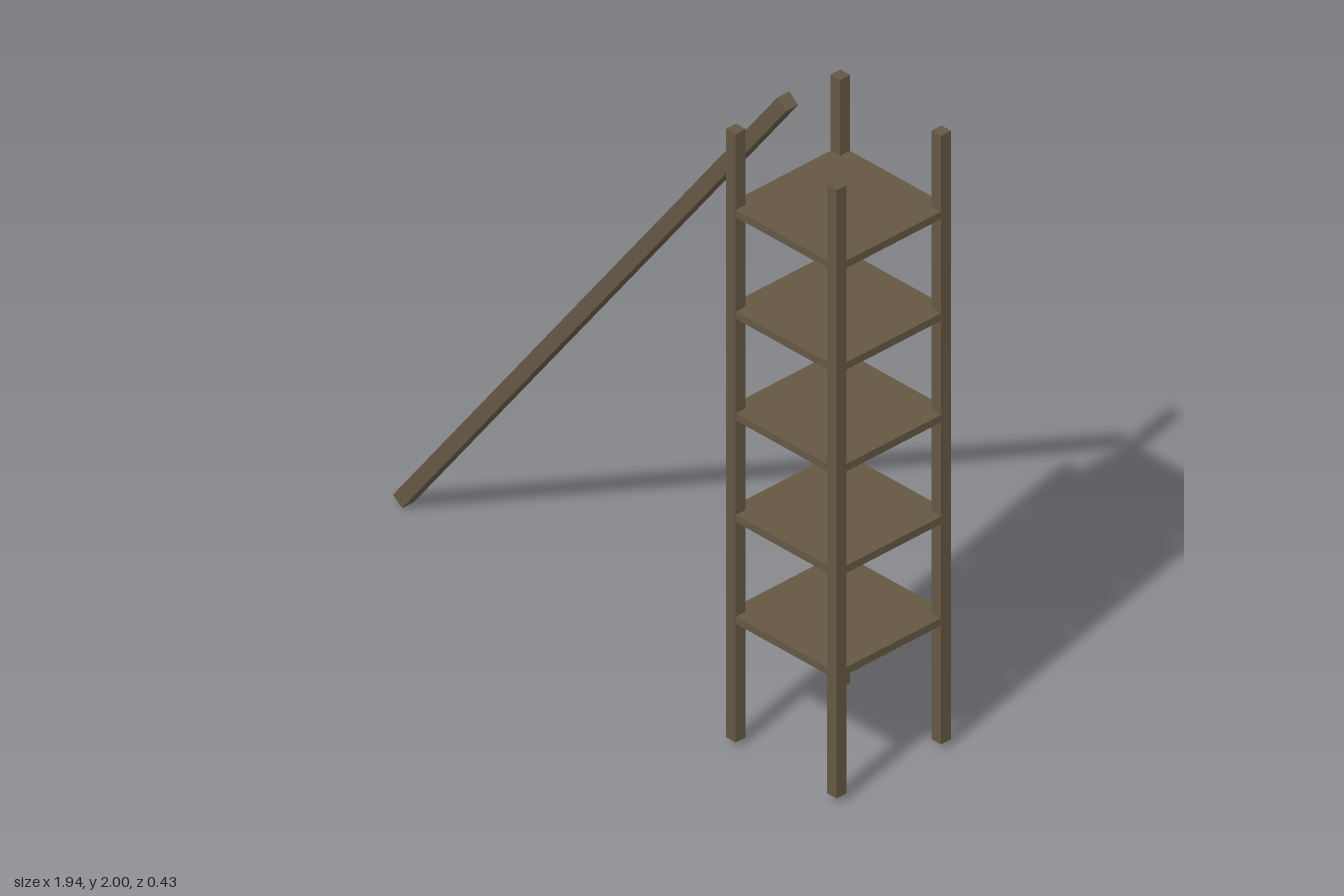
import * as THREE from 'three';

export function createModel() {
  const group = new THREE.Group();
  const wood = new THREE.MeshStandardMaterial({ name: 'weathered wood', color: 0x655844 });

  function addBox(name, size, position, tilt = 0) {
    const mesh = new THREE.Mesh(new THREE.BoxGeometry(...size), wood);
    mesh.name = name;
    mesh.position.set(...position);
    mesh.rotation.z = tilt;
    group.add(mesh);
    return mesh;
  }

  const towerX = 0.753; // tower centre line
  const postOffset = 0.198;
  const postSize = 0.038;

  // Four corner posts
  for (const sx of [-1, 1]) {
    for (const sz of [-1, 1]) {
      addBox('cornerPost', [postSize, 1.966, postSize],
        [towerX + sx * postOffset, 1.002, sz * postOffset]);
    }
  }

  // Five shelves, just inside the posts' outer faces
  const shelfWidth = 2 * postOffset + postSize - 0.002;
  for (let i = 0; i < 5; i++) {
    addBox('shelf', [shelfWidth, 0.024, shelfWidth], [towerX, 0.414 + i * 0.3285, 0]);
  }

  // Long beam leaning against the tower
  const foot = new THREE.Vector2(-0.954, 0.0135);
  const head = new THREE.Vector2(0.554, 1.9865);
  const run = head.clone().sub(foot);
  const middle = foot.clone().add(head).multiplyScalar(0.5);
  addBox('leaningBeam', [run.length(), 0.045, 0.045], [middle.x, middle.y, 0], run.angle());

  return group;
}
